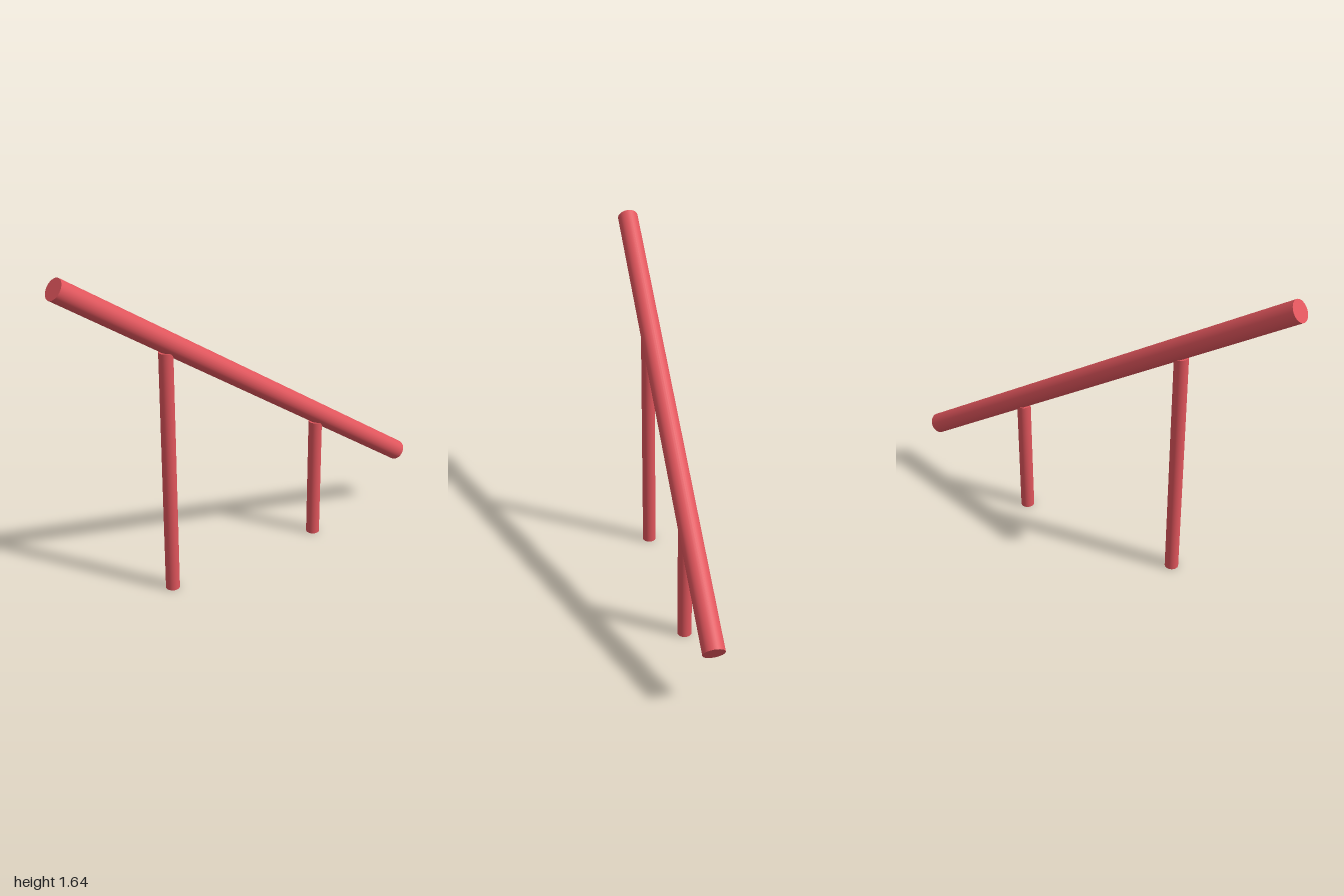
import * as THREE from 'three';

export function createModel() {
  const model = new THREE.Group();
  model.name = 'slopedRail';
  const material = new THREE.MeshStandardMaterial({ color: 0xe0555c });

  // Round capped bar running between two points
  function bar(name, from, to, radius) {
    const axis = to.clone().sub(from);
    const mesh = new THREE.Mesh(new THREE.CylinderGeometry(radius, radius, axis.length(), 32), material);
    mesh.name = name;
    mesh.position.copy(from).add(to).multiplyScalar(0.5);
    mesh.quaternion.setFromUnitVectors(new THREE.Vector3(0, 1, 0), axis.normalize());
    model.add(mesh);
  }

  // Sloping rail, high at the front
  bar('rail', new THREE.Vector3(0, 0.291, -0.972), new THREE.Vector3(0, 1.595, 0.972), 0.05);

  // Upright posts under the rail
  for (const [name, z, height] of [['frontPost', 0.452, 1.2], ['backPost', -0.41, 0.622]]) {
    bar(name, new THREE.Vector3(0, 0, z), new THREE.Vector3(0, height, z), 0.033);
  }

  return model;
}
